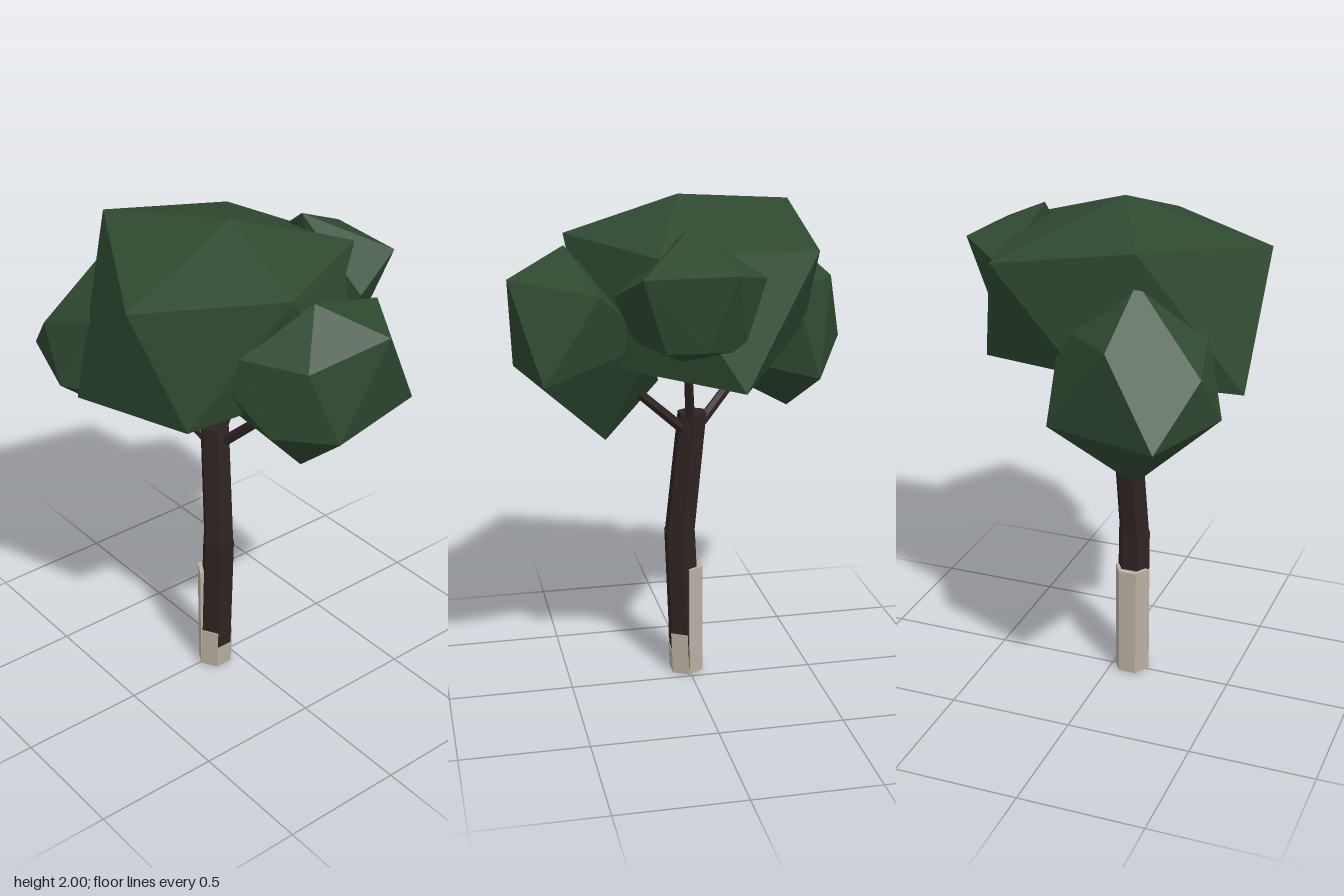
import * as THREE from 'three';
import { ConvexGeometry } from 'three/addons/geometries/ConvexGeometry.js';

const V = (x, y, z) => new THREE.Vector3(x, y, z);

// Ring of six corners, with points on +z and -z and flat sides on +x and -x
const corner = (c, r, i) =>
  V(c.x + r * Math.sin(i * Math.PI / 3), c.y, c.z + r * Math.cos(i * Math.PI / 3));
const ring = (c, r) => [0, 1, 2, 3, 4, 5].map(i => corner(c, r, i));

export function createModel() {
  const mat = (name, color) => {
    const m = new THREE.MeshStandardMaterial({ color, flatShading: true });
    m.name = name;
    return m;
  };
  const leaf = mat('leafGreen', 0x2f4a31);
  const bark = mat('darkBark', 0x2e2322);
  const paint = mat('palePaint', 0xbab0a3);

  const tree = new THREE.Group();
  tree.name = 'tree';
  const add = (name, geometry, material, parent = tree) => {
    const mesh = new THREE.Mesh(geometry, material);
    mesh.name = name;
    parent.add(mesh);
    return mesh;
  };

  // Trunk: two hexagonal logs leaning opposite ways
  const base = V(0.008, 0, 0.083), bend = V(0.035, 0.625, 0.08), top = V(-0.013, 1.13, 0.06);
  add('lowerTrunk', new ConvexGeometry([...ring(base, 0.069), ...ring(bend, 0.066)]), bark);
  add('upperTrunk', new ConvexGeometry([
    ...ring(V(0.035, 0.615, 0.08), 0.063), ...ring(top, 0.06)]), bark);

  // Tall paint: upright half sleeve on the -x side
  const half = [];
  for (const y of [0.002, 0.468])
    for (const i of [3, 4, 5, 6]) half.push(corner(V(0.008, y, 0.083), 0.0725, i));
  add('tallPaint', new ConvexGeometry(half), paint);

  // Short paint: thin plates on the three +x sides
  const lowPaint = new THREE.Group();
  lowPaint.name = 'lowPaint';
  tree.add(lowPaint);
  [0.178, 0.1, 0.178].forEach((h, i) => {
    const pts = [];
    for (const y of [0.002, h]) {
      const c = base.clone().lerp(bend, y / bend.y);
      c.y = y;
      for (const r of [0.066, 0.0725]) pts.push(corner(c, r, i), corner(c, r, i + 1));
    }
    add('paintPlate', new ConvexGeometry(pts), paint, lowPaint);
  });

  // Branches reaching into the leaf clumps
  const branch = (name, a, b, r) => {
    const d = b.clone().sub(a);
    const mesh = add(name, new THREE.CylinderGeometry(r * 0.85, r, d.length(), 6), bark);
    mesh.position.copy(a).addScaledVector(d, 0.5);
    mesh.quaternion.setFromUnitVectors(V(0, 1, 0), d.normalize());
  };
  branch('rightBranch', V(-0.02, 1.04, 0.07), V(-0.32, 1.34, 0.22), 0.022);
  branch('leftBranch', V(0.0, 1.04, 0.05), V(0.3, 1.32, -0.03), 0.022);
  branch('backBranch', V(-0.005, 1.06, 0.05), V(0.035, 1.42, -0.08), 0.02);

  // Leaf clumps: faceted hulls, each listed from crown to underside
  const clumps = {
    mainCanopy: [
      [0.05, 2, 0.03],
      [-0.44, 1.935, 0.25], [0.16, 1.83, 0.575], [0.48, 1.855, 0.1],
      [0.21, 1.845, -0.43], [-0.41, 1.83, -0.32],
      [-0.175, 1.36, 0.577], [0.29, 1.36, 0.42], [0.42, 1.42, -0.2],
      [-0.1, 1.35, -0.49], [-0.46, 1.47, 0.04],
      [0.02, 1.265, 0.08]],
    leftCanopy: [
      [0.49, 1.825, 0.01],
      [0.72, 1.735, -0.14], [0.63, 1.65, 0.155], [0.39, 1.65, 0.265], [0.41, 1.705, -0.37],
      [0.62, 1.38, -0.37], [0.69, 1.36, 0.05], [0.52, 1.375, 0.23], [0.37, 1.5, 0.28],
      [0.12, 1.26, 0.08], [0.2, 1.5, -0.25],
      [0.355, 1.075, -0.065]],
    rightCanopy: [
      [-0.4, 1.82, 0.24],
      [-0.615, 1.625, 0.2], [-0.49, 1.525, 0.51], [-0.22, 1.61, 0.45], [-0.4, 1.62, -0.05],
      [-0.72, 1.32, 0.415], [-0.345, 1.325, 0.545], [-0.235, 1.33, 0.49],
      [-0.5, 1.27, -0.07], [-0.13, 1.34, 0.1], [-0.145, 1.255, 0.2],
      [-0.455, 1.075, 0.255]],
    backCanopy: [
      [0.06, 1.94, -0.3],
      [-0.045, 1.805, -0.585], [0.29, 1.8, -0.565], [0.355, 1.7, -0.34], [-0.2, 1.75, -0.375],
      [-0.12, 1.49, -0.42], [0.05, 1.52, -0.525], [0.2, 1.52, -0.51], [0.28, 1.52, -0.3],
      [0.08, 1.42, -0.3]],
  };
  for (const [name, pts] of Object.entries(clumps))
    add(name, new ConvexGeometry(pts.map(p => V(...p))), leaf);

  return tree;
}
